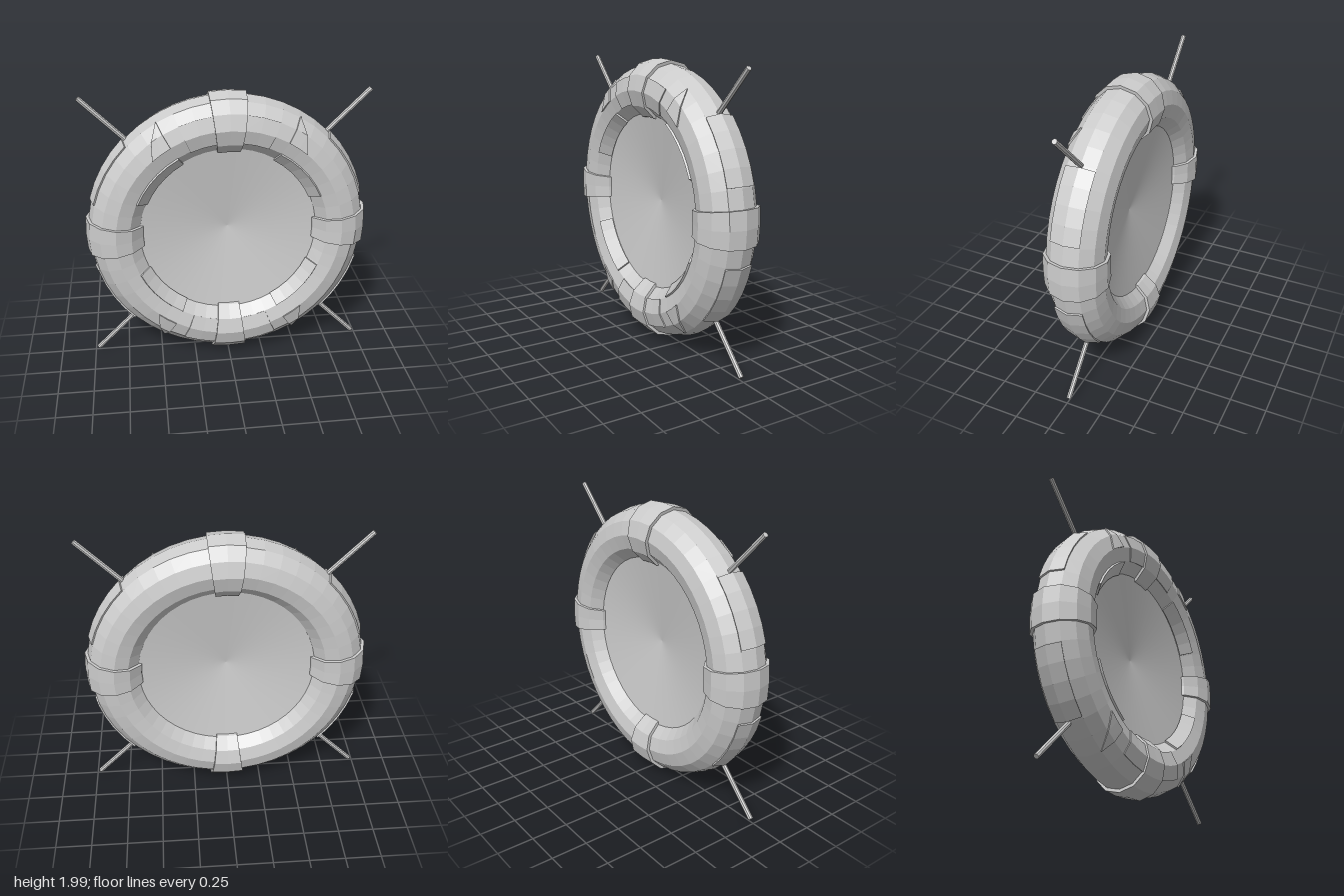
import * as THREE from 'three';

const RING = 0.785, TUBE = 0.19, DEPTH = 0.195; // ring radius, tube radius, half depth
const DEG = Math.PI / 180;

// Point on the ring: a = angle round the ring, t = angle round the tube, lift = height over the surface
function ringPoint(a, t, lift) {
  const r = RING + (TUBE + lift) * Math.cos(t * DEG);
  return [r * Math.cos(a * DEG), r * Math.sin(a * DEG), (DEPTH + lift) * Math.sin(t * DEG)];
}

// Raised shell from tube angle t0 to t1; from = [lo, hi] ring angles at t0, to = the same at t1
function shell(t0, t1, from, to, lift, steps) {
  const rows = Math.round((t1 - t0) / 30), pos = [];
  const at = (i, j, h) => {
    const k = j / rows;
    const lo = from[0] + (to[0] - from[0]) * k, hi = from[1] + (to[1] - from[1]) * k;
    return ringPoint(lo + (hi - lo) * i / steps, t0 + (t1 - t0) * k, h);
  };
  const quad = (a, b, c, d) => pos.push(...a, ...b, ...c, ...a, ...c, ...d);
  const base = -0.008;
  for (let i = 0; i < steps; i++) {
    for (let j = 0; j < rows; j++) {
      quad(at(i, j, lift), at(i + 1, j, lift), at(i + 1, j + 1, lift), at(i, j + 1, lift));
    }
    quad(at(i, 0, base), at(i + 1, 0, base), at(i + 1, 0, lift), at(i, 0, lift));
    quad(at(i, rows, lift), at(i + 1, rows, lift), at(i + 1, rows, base), at(i, rows, base));
  }
  for (let j = 0; j < rows; j++) {
    quad(at(0, j, base), at(0, j, lift), at(0, j + 1, lift), at(0, j + 1, base));
    quad(at(steps, j, lift), at(steps, j, base), at(steps, j + 1, base), at(steps, j + 1, lift));
  }
  const g = new THREE.BufferGeometry();
  g.setAttribute('position', new THREE.Float32BufferAttribute(pos, 3));
  g.computeVertexNormals();
  return g;
}

export function createModel() {
  const model = new THREE.Group();
  model.name = 'ringGate';
  const body = new THREE.Group();
  body.name = 'ringAssembly';
  body.position.y = 1;
  model.add(body);

  const flat = new THREE.MeshStandardMaterial({ color: 0xcccccc, flatShading: true, side: THREE.DoubleSide });
  const smooth = new THREE.MeshStandardMaterial({ color: 0xcccccc, side: THREE.DoubleSide });
  const add = (name, geometry, material = flat) => {
    const mesh = new THREE.Mesh(geometry, material);
    mesh.name = name;
    body.add(mesh);
    return mesh;
  };

  // Main ring
  add('ring', new THREE.TorusGeometry(RING, TUBE, 12, 48).scale(1, 1, DEPTH / TUBE));

  // Shallow dished panels, one on each side of the opening
  for (const side of [1, -1]) {
    const profile = [new THREE.Vector2(0, 0.003), new THREE.Vector2(0.621, 0.095)];
    const dish = new THREE.LatheGeometry(profile, 64).rotateX(side * Math.PI / 2);
    add(side > 0 ? 'frontDish' : 'backDish', dish, smooth);
  }

  // Four clamps wrapped round the tube
  for (let i = 0; i < 4; i++) {
    const span = [i * 90 - 7.3, i * 90 + 7.3];
    add('clamp', shell(0, 360, span, span, 0.022, 2));
  }

  // Copies a shell into all four quarters of the ring
  const quarters = (name, t0, t1, from, to, lift, steps) => {
    const flip = (base, [lo, hi]) => [base - hi, base - lo];
    const turn = ([lo, hi]) => [lo + 180, hi + 180];
    for (const [f, g] of [
      [from, to], [flip(180, from), flip(180, to)],
      [turn(from), turn(to)], [flip(360, from), flip(360, to)],
    ]) add(name, shell(t0, t1, f, g, lift, steps));
  };
  quarters('outerPlate', -30, 30, [15.5, 44], [15.5, 44], 0.012, 4);
  quarters('innerPlate', 120, 150, [23.5, 60], [23.5, 60], 0.015, 5);
  quarters('facePlate', 60, 120, [67.7, 83], [67.7, 83], 0.008, 2);
  quarters('pointedPlate', 30, 90, [59.8, 60], [49, 60], 0.01, 2);

  // Four diagonal rods
  for (let i = 0; i < 4; i++) {
    const rod = new THREE.CylinderGeometry(0.018, 0.018, 0.44, 8).translate(0, 1.16, 0);
    add('rod', rod).rotation.z = (45 + i * 90) * DEG;
  }
  return model;
}
